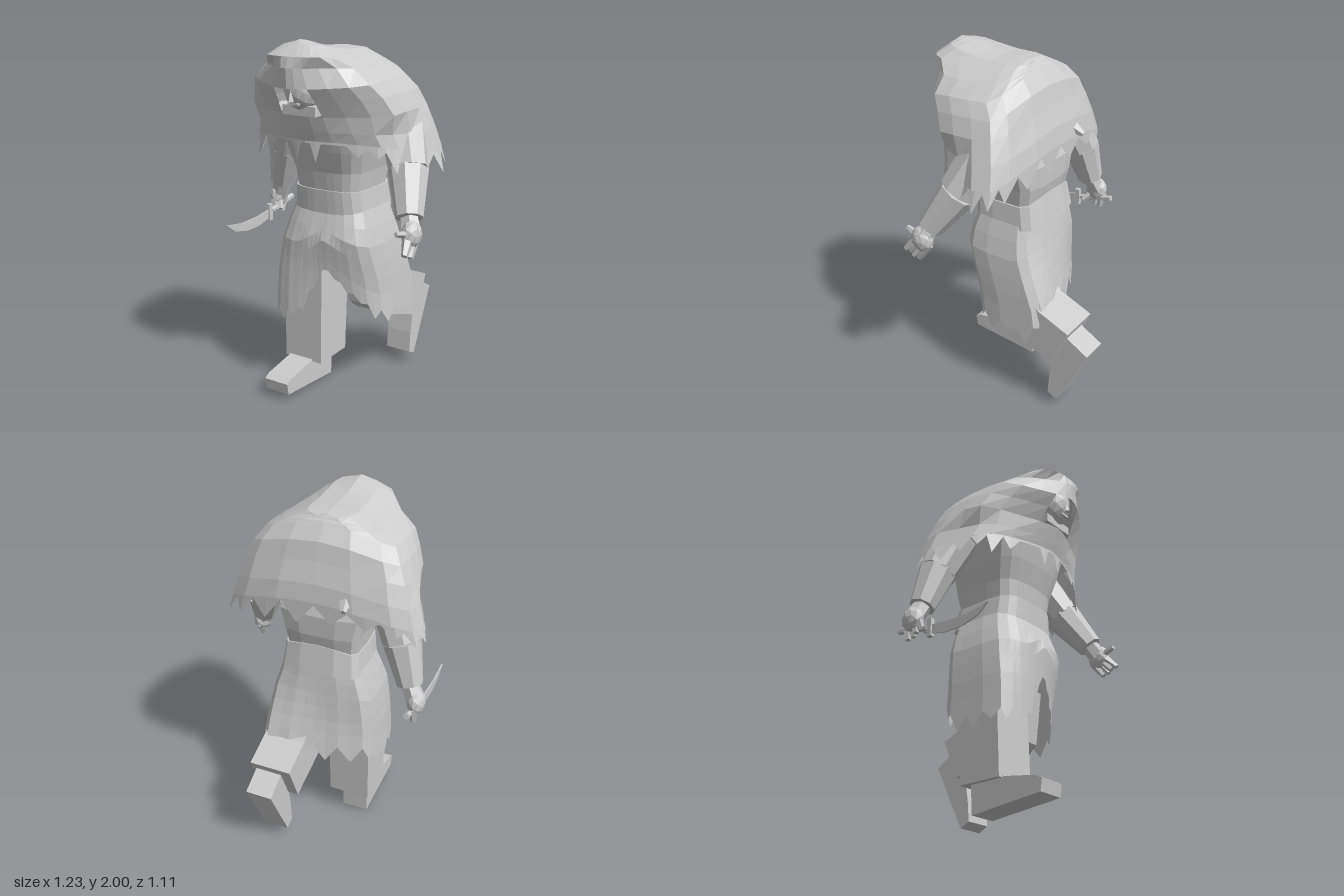
import * as THREE from 'three';

const mat = new THREE.MeshStandardMaterial({ color: 0xcccccc, flatShading: true, side: THREE.DoubleSide });
const V = (x, y, z) => new THREE.Vector3(x, y, z);
const { lerp, smoothstep } = THREE.MathUtils;
const rnd = i => { const s = Math.sin(i * 91.7 + 3.1) * 4375.5; return s - Math.floor(s); };

// half cross-sections, front centre to back centre: [width fraction, depth fraction]
const SHOULDER = [[0, 0], [.12, .015], [.27, .05], [.5, .13], [.75, .22], [.95, .33], [.99, .5], [1, .7], [.98, .88], [.8, .96], [.4, 1], [0, 1]];
const DRAPE = [[0, 0], [.12, .015], [.27, .05], [.5, .12], [.7, .2], [.82, .32], [.91, .5], [1, .7], [.96, .87], [.77, .95], [.4, 1], [0, 1]];
const BOXY = [[0, 0], [.2, 0], [.4, .01], [.6, .03], [.8, .08], [.95, .18], [1, .4], [1, .62], [1, .84], [.88, .95], [.45, 1], [0, 1]];
const SEG = 22;

// u runs 0..22 around the section, beginning at the front and passing the model's left
function section(table, u) {
  const side = u <= 11 ? 1 : -1, v = side > 0 ? u : SEG - u;
  const i = Math.min(10, Math.floor(v)), f = v - i;
  return [side * lerp(table[i][0], table[i + 1][0], f), lerp(table[i][1], table[i + 1][1], f)];
}

// ring row: [yFront, ySide, yBack, halfWidth, zFront, zBack]
function ringPoint(table, row, u) {
  const [fx, t] = section(table, u), [yF, yS, yB, w, zF, zB] = row;
  const y = t < .65 ? lerp(yF, yS, smoothstep(t, 0, .65)) : lerp(yS, yB, 1 - fx * fx);
  return V(fx * w, y, lerp(zF, zB, t));
}

// sheet of quads from a point rule; hole(i, r) leaves a quad out
function sheet(cols, rows, point, hole = () => false) {
  const pos = [];
  const add = (...p) => p.forEach(q => pos.push(q.x, q.y, q.z));
  for (let r = 0; r < rows; r++) for (let i = 0; i < cols; i++) {
    if (hole(i, r)) continue;
    const a = point(i, r), b = point(i + 1, r), c = point(i, r + 1), d = point(i + 1, r + 1);
    add(a, c, b, b, c, d);
  }
  const g = new THREE.BufferGeometry();
  g.setAttribute('position', new THREE.Float32BufferAttribute(pos, 3));
  g.computeVertexNormals();
  return g;
}
const loft = (table, rows) => sheet(SEG, rows.length - 1, (i, r) => ringPoint(table, rows[r], i));

// outline in (z, y), given a thickness along x
function sideExtrude(points, x, width) {
  const shape = new THREE.Shape(points.map(p => new THREE.Vector2(p[0], p[1])));
  const g = new THREE.ExtrudeGeometry(shape, { depth: width, bevelEnabled: false });
  return g.rotateY(-Math.PI / 2).translate(x + width / 2, 0, 0);
}

// tapered limb between two points
function limb(a, b, ra, rb, sides = 8) {
  const d = b.clone().sub(a);
  const g = new THREE.CylinderGeometry(rb, ra, d.length(), sides);
  g.applyQuaternion(new THREE.Quaternion().setFromUnitVectors(V(0, 1, 0), d.normalize()));
  const m = a.clone().add(b).multiplyScalar(.5);
  return g.translate(m.x, m.y, m.z);
}

export function createModel() {
  const group = new THREE.Group();
  const add = (name, g, parent = group) => {
    const m = new THREE.Mesh(g, mat);
    m.name = name;
    parent.add(m);
  };

  // hooded cloak over a broad hump, with a face opening and a ragged hem
  const cloak = [
    [2.0, 1.95, 1.935, 0, .44, -.02],
    [1.975, 1.94, 1.93, .13, .47, -.03],
    [1.925, 1.905, 1.92, .2, .535, -.04],
    [1.87, 1.865, 1.915, .28, .555, -.05],
    [1.77, 1.81, 1.905, .37, .55, -.06],
    [1.70, 1.74, 1.83, .42, .50, -.12],
    [1.62, 1.65, 1.73, .46, .45, -.145],
    [1.54, 1.53, 1.62, .51, .42, -.18],
    [1.49, 1.42, 1.52, .545, .40, -.195],
  ];
  const last = cloak.length - 1;
  const hemCols = 52;
  const cloakTable = r => r < 3 ? BOXY : r < 7 ? SHOULDER : DRAPE;
  add('hoodedCloak', sheet(SEG, last, (i, r) => ringPoint(cloakTable(r), cloak[r], i),
    (i, r) => (r === 4 || r === 5) && (i < 2 || i >= SEG - 2)));
  add('cloakFringe', sheet(hemCols, 1, (i, r) => {
    const k = i % hemCols, fromFront = Math.min(k, hemCols - k);
    const p = ringPoint(DRAPE, cloak[last], k * SEG / hemCols);
    if (r === 0) return p;
    let len = k % 2 ? .06 + .08 * rnd(k) : .005 + .02 * rnd(k);
    if (fromFront < 7) len = fromFront === 2 ? .11 : .012; // two points on the chest
    return V(p.x * (1 + len * .6), p.y - len, p.z);
  }));
  add('backKnot', limb(V(-.17, 1.55, -.17), V(-.18, 1.52, -.225), .035, .015, 5));

  // shadowed face and scarf inside the hood
  add('head', new THREE.IcosahedronGeometry(1, 2).scale(.095, .135, .12).translate(0, 1.775, .4));
  add('nose', new THREE.ConeGeometry(.018, .06, 4).translate(0, 1.735, .515));
  add('mouth', new THREE.BoxGeometry(.06, .012, .03).translate(0, 1.69, .485));
  add('scarf', new THREE.BoxGeometry(.2, .05, .1).translate(0, 1.65, .4));

  // torso and belt
  add('torso', loft(BOXY, [
    [1.7, 1.7, 1.7, 0, .2, .1],
    [1.62, 1.62, 1.62, .29, .36, -.1],
    [1.42, 1.42, 1.42, .25, .31, -.16],
    [1.3, 1.3, 1.3, .22, .27, -.155],
    [1.19, 1.19, 1.19, .205, .255, -.13],
  ]));
  add('belt', loft(BOXY, [
    [1.2, 1.2, 1.24, .205, .255, -.13],
    [1.2, 1.2, 1.24, .215, .265, -.145],
    [1.07, 1.07, 1.08, .23, .26, -.17],
    [1.07, 1.07, 1.08, .21, .25, -.15],
  ]));

  // skirt: girth follows height, the hem is torn and slit, and the stride twists it
  const girth = [[1.1, .225, .25, -.14], [.93, .28, .31, -.165], [.75, .3, .295, -.195], [.6, .307, .285, -.225], [.36, .32, .285, -.235]];
  const skirtAt = (u, y) => {
    let k = 0;
    while (k < 3 && y < girth[k + 1][0]) k++;
    const f = (girth[k][0] - y) / (girth[k][0] - girth[k + 1][0]);
    const [w, zF, zB] = [1, 2, 3].map(j => lerp(girth[k][j], girth[k + 1][j], f));
    const p = ringPoint(BOXY, [y, y, y, w, zF, zB], u);
    p.z -= p.x * .28 * smoothstep(1.05 - y, 0, .5);
    return p;
  };
  const cols = 44;
  add('skirt', sheet(cols, 6, (i, r) => {
    const k = i % cols, u = k * SEG / cols, [fx, t] = section(BOXY, u);
    let hem = .5 + .12 * smoothstep(t, .75, 1);
    const d = fx * .3 - .04;
    const slit = t < .2 ? Math.max(0, 1 - (d > 0 ? d / .26 : -d / .17)) : 0;
    hem += .28 * slit;
    if (r === 6 && k % 2) hem -= (.03 + .07 * rnd(k + 50)) * (1 - slit);
    return skirtAt(u, lerp(1.1, hem, r / 6));
  }));

  // standing right leg, trailing left leg
  add('rightTrouserLeg', sideExtrude([[.24, .16], [.22, .8], [-.06, .8], [-.02, .16]], -.148, .245));
  add('rightShoe', sideExtrude([[.48, .115], [.44, .135], [.25, .165], [.2, .2], [.03, .2], [.04, .005], [.47, .05]], -.165, .155));
  add('leftTrouserLeg', sideExtrude([[.08, .8], [-.1, .78], [-.25, .64], [-.44, .56], [-.34, .33], [-.03, .44], [.04, .5]], .163, .245));
  add('leftShoe', sideExtrude([[-.36, .5], [-.41, .52], [-.55, .44], [-.36, .06], [-.3, .09], [-.31, .21]], .182, .155));

  // arms: sleeve, palm and curled fingers
  const arms = [
    { name: 'left', shoulder: V(.36, 1.55, .02), wrist: V(.54, 1.13, .265), palm: V(.573, 1.06, .3), tip: V(.58, .94, .365), thumb: V(.55, 1.085, .42) },
    { name: 'right', shoulder: V(-.36, 1.55, .0), wrist: V(-.515, 1.1, -.09), palm: V(-.56, 1.01, -.11), tip: V(-.56, .9, -.095), thumb: V(-.505, .94, -.05) },
  ];
  for (const a of arms) {
    const arm = new THREE.Group();
    arm.name = a.name + 'Arm';
    group.add(arm);
    const elbow = a.shoulder.clone().lerp(a.wrist, .5).add(V(Math.sign(a.wrist.x) * .01, 0, -.01));
    add('upperSleeve', limb(a.shoulder, elbow, .125, .106), arm);
    add('lowerSleeve', limb(elbow, a.wrist, .106, .072), arm);
    add('wrist', limb(a.wrist, a.palm, .05, .055, 6), arm);
    add('palm', new THREE.IcosahedronGeometry(1, 1).scale(.05, .075, .068).translate(a.palm.x, a.palm.y, a.palm.z), arm);
    for (let i = 0; i < 4; i++) {
      const o = V(.012 * (i % 2), .012 * i, (i - 1.5) * .028);
      add('finger', limb(a.palm.clone().add(V(0, -.02, o.z)), a.tip.clone().add(o), .028, .016, 5), arm);
    }
    add('thumb', limb(a.palm, a.thumb, .026, .013, 5), arm);
  }

  // curved knife in the right hand
  const knife = new THREE.Group();
  knife.name = 'knife';
  group.add(knife);
  add('grip', limb(V(-.545, .98, -.22), V(-.545, .935, -.01), .018, .016, 6), knife);
  add('guard', new THREE.BoxGeometry(.025, .1, .03).translate(-.545, .93, .01), knife);
  add('blade', sideExtrude([[0, .95], [.12, .93], [.27, .925], [.405, .945], [.34, .895], [.24, .87], [.12, .87], [0, .9]], -.545, .008), knife);

  return group;
}
